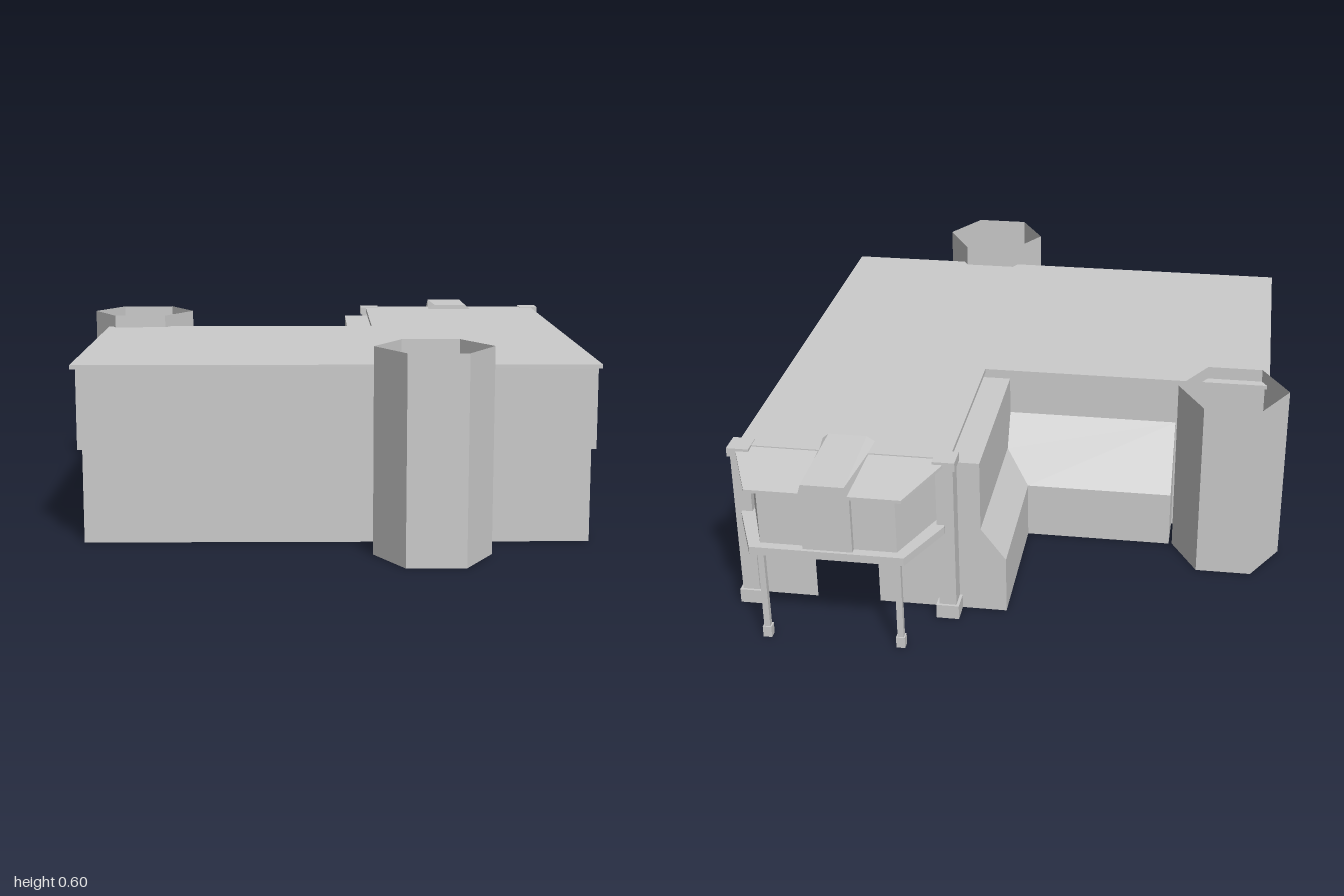
import * as THREE from 'three';

const plaster = new THREE.MeshStandardMaterial({ color: 0xcccccc, side: THREE.DoubleSide });
plaster.name = 'pale grey plaster';

export function createModel() {
  const model = new THREE.Group();

  const add = (name, geometry) => {
    const mesh = new THREE.Mesh(geometry, plaster);
    mesh.name = name;
    model.add(mesh);
    return mesh;
  };

  // Faceted sheet between two rows of [x, y, z] points
  const sheet = (name, a, b) => {
    const p = [];
    for (let i = 0; i + 1 < a.length; i++) {
      p.push(...a[i], ...a[i + 1], ...b[i + 1], ...a[i], ...b[i + 1], ...b[i]);
    }
    const g = new THREE.BufferGeometry();
    g.setAttribute('position', new THREE.Float32BufferAttribute(p, 3));
    g.computeVertexNormals();
    return add(name, g);
  };

  // Thin upright walls along a plan of [x, z] points
  const wall = (name, plan, y0, y1) =>
    sheet(name, plan.map(([x, z]) => [x, y0, z]), plan.map(([x, z]) => [x, y1, z]));

  // Horizontal slab from a plan; it can drop in height towards the back
  const slab = (name, plan, y0, y1, slope = 0, zStart = 0) => {
    const shape = new THREE.Shape(plan.map(([x, z]) => new THREE.Vector2(x, -z)));
    const g = new THREE.ExtrudeGeometry(shape, { depth: y1 - y0, bevelEnabled: false });
    g.rotateX(-Math.PI / 2).translate(0, y0, 0);
    const p = g.attributes.position;
    for (let i = 0; i < p.count; i++) p.setY(i, p.getY(i) + slope * (p.getZ(i) - zStart));
    g.computeVertexNormals();
    return add(name, g);
  };

  const box = (name, x0, x1, y0, y1, z0, z1) =>
    add(name, new THREE.BoxGeometry(x1 - x0, y1 - y0, z1 - z0)
      .translate((x0 + x1) / 2, (y0 + y1) / 2, (z0 + z1) / 2));

  // L-shaped flat roof
  slab('mainRoof', [[-0.75, 0.735], [0.785, 0.735], [0.785, -0.75], [0.74, -0.785],
    [0.2, -0.785], [0.155, -0.75], [0.155, -0.18], [-0.75, -0.18]], 0.517, 0.53);

  // Upper storey overhangs the lower one slightly
  const upper = [[-0.735, 0.727], [0.775, 0.727], [0.775, -0.765], [0.162, -0.765],
    [0.162, -0.175], [-0.735, -0.175], [-0.735, 0.727]];
  const lower = [[-0.722, 0.715], [0.762, 0.715], [0.762, -0.75], [0.165, -0.75],
    [0.165, -0.172], [-0.722, -0.172], [-0.722, 0.715]];
  wall('upperWalls', upper, 0.28, 0.52);
  sheet('overhangSoffit', upper.map(([x, z]) => [x, 0.28, z]), lower.map(([x, z]) => [x, 0.28, z]));

  // Lower walls, with a rear doorway and a side doorway
  wall('lowerFrontWalls', [[-0.722, 0.33], [-0.722, 0.715], [0.762, 0.715], [0.762, -0.75], [0.585, -0.75]], 0, 0.28);
  wall('lowerRearWalls', [[0.39, -0.75], [0.165, -0.75], [0.165, -0.172], [-0.722, -0.172], [-0.722, 0.13]], 0, 0.28);
  wall('sideDoorLintel', [[-0.722, 0.13], [-0.722, 0.33]], 0.24, 0.28);
  for (const z of [0.13, 0.33]) {
    box('sideDoorPost', -0.72, -0.695, 0, 0.24, z - 0.01, z + 0.01);
    box('sideDoorPostFoot', -0.722, -0.69, 0, 0.025, z - 0.014, z + 0.014);
  }
  box('sideDoorBeam', -0.725, -0.69, 0.225, 0.245, 0.115, 0.345);

  // Lean-to around the inner corner
  wall('leanToWalls', [[0.165, -0.75], [0, -0.75], [0, -0.3], [-0.46, -0.3], [-0.46, -0.175]], 0, 0.18);
  sheet('leanToArmRoof', [[0, 0.18, -0.75], [0, 0.18, -0.3]], [[0.075, 0.28, -0.75], [0.075, 0.28, -0.24]]);
  sheet('leanToBackRoof', [[0, 0.18, -0.3], [-0.46, 0.18, -0.3]], [[0.075, 0.28, -0.24], [-0.46, 0.38, -0.178]]);
  sheet('leanToBackRoofCorner', [[0.075, 0.28, -0.24], [0.075, 0.28, -0.24]],
    [[-0.46, 0.38, -0.178], [0.075, 0.38, -0.178]]);
  sheet('leanToArmGable', [[0, 0.18, -0.75], [0.075, 0.28, -0.75], [0.165, 0.28, -0.75]],
    [[0, 0.18, -0.75], [0.075, 0.18, -0.75], [0.165, 0.18, -0.75]]);
  sheet('leanToBackGable', [[-0.46, 0.18, -0.3], [-0.46, 0.38, -0.178]],
    [[-0.46, 0.18, -0.178], [-0.46, 0.18, -0.178]]);
  box('upperArmBay', 0.075, 0.163, 0.28, 0.5, -0.75, -0.178);

  // Open hexagonal towers
  for (const [name, x, z, h] of [['frontTower', 0.29, 0.855, 0.6], ['rearTower', -0.64, -0.298, 0.57]]) {
    const plan = [];
    for (let i = 0; i <= 6; i++) {
      const a = (i * Math.PI) / 3;
      plan.push([x + 0.17 * Math.cos(a), z - 0.17 * Math.sin(a)]);
    }
    wall(name, plan, 0, h);
  }

  // Corner columns at the rear
  for (const x of [0.168, 0.775]) {
    box('cornerColumn', x - 0.026, x + 0.026, 0, 0.53, -0.807, -0.75);
    box('cornerColumnBase', x - 0.034, x + 0.034, 0, 0.045, -0.815, -0.742);
    box('cornerColumnCap', x - 0.033, x + 0.033, 0.505, 0.532, -0.815, -0.745);
  }

  // Raised rear bay on two posts
  const bayPlan = [[0.17, -0.78], [0.17, -0.815], [0.25, -1], [0.7, -1], [0.78, -0.815], [0.78, -0.78]];
  slab('bayFloor', bayPlan, 0.295, 0.32);
  slab('bayRoof', bayPlan, 0.517, 0.527, 0.09, -0.78);
  wall('bayWalls', [[0.2, -0.78], [0.275, -0.972], [0.4, -0.972], [0.4, -0.99],
    [0.545, -0.99], [0.545, -0.972], [0.675, -0.972], [0.75, -0.78]], 0.32, 0.502);
  for (const x of [0.275, 0.675]) {
    box('bayPost', x - 0.009, x + 0.009, 0, 0.3, -0.978, -0.96);
    box('bayPostFoot', x - 0.013, x + 0.013, 0, 0.035, -0.982, -0.956);
  }

  // Dormer roof over the middle of the bay
  const inner = [[0.388, 0.528, -0.71], [0.415, 0.545, -0.71], [0.53, 0.545, -0.71], [0.55, 0.528, -0.71]];
  const outer = [[0.402, 0.502, -1], [0.41, 0.535, -1], [0.535, 0.535, -1], [0.545, 0.502, -1]];
  sheet('dormerRoof', inner, outer);
  sheet('dormerFace', [outer[0], outer[3]], [outer[1], outer[2]]);
  sheet('dormerInnerEnd', [inner[0], inner[3]], [inner[1], inner[2]]);

  return model;
}
